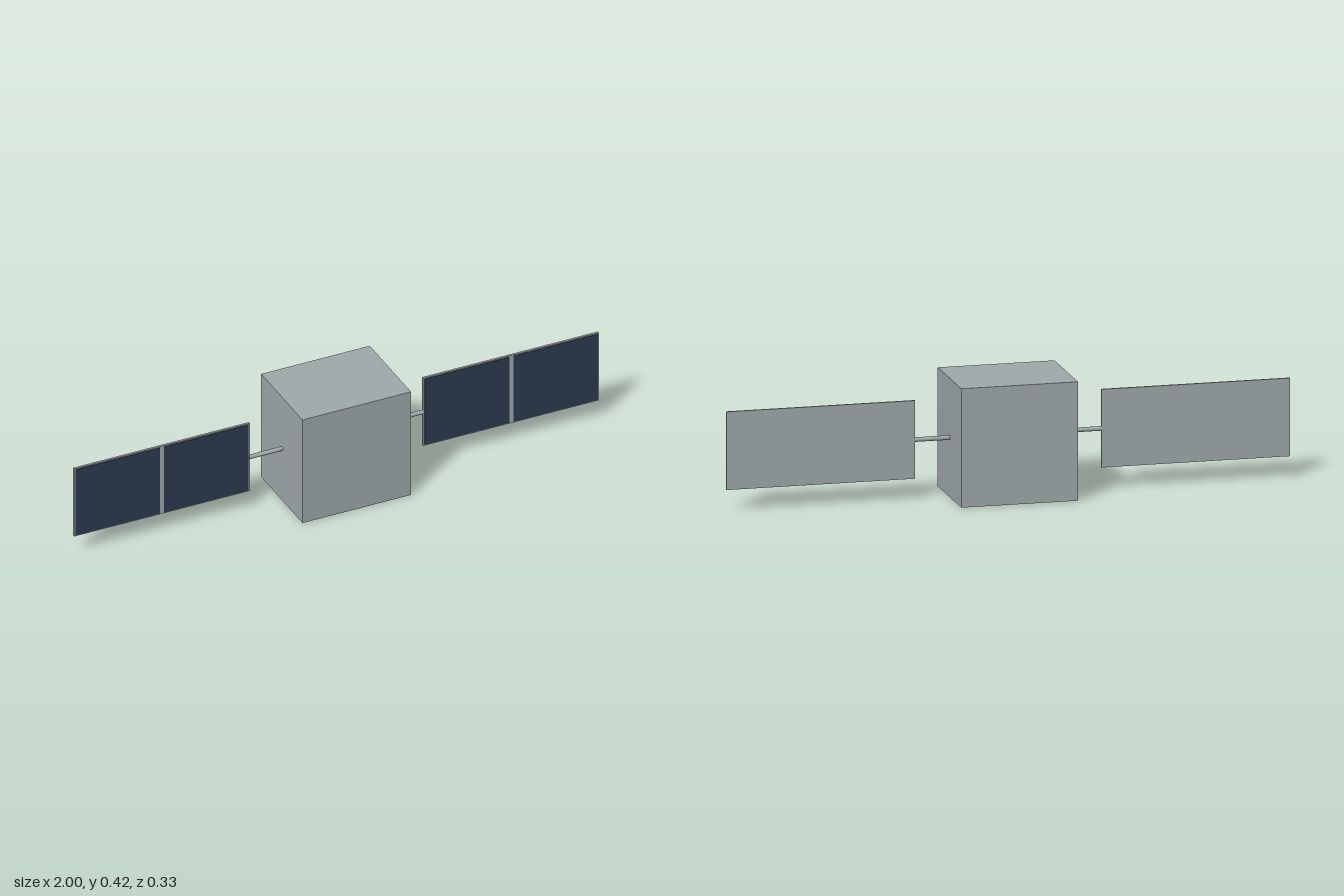
import * as THREE from 'three';

export function createModel() {
  const model = new THREE.Group();
  model.name = 'satellite';
  const hull = new THREE.MeshStandardMaterial({ color: 0x9fa8aa });
  hull.name = 'hull grey';
  const cellBlue = new THREE.MeshStandardMaterial({ color: 0x2c3a4f });
  cellBlue.name = 'solar cell blue';

  const add = (parent, name, geometry, material, x, y, z) => {
    const mesh = new THREE.Mesh(geometry, material);
    mesh.name = name;
    mesh.position.set(x, y, z);
    parent.add(mesh);
    return mesh;
  };

  // Main box
  add(model, 'body', new THREE.BoxGeometry(0.414, 0.42, 0.326), hull, 0, 0.21, 0);

  // One wing each side: boom, backing panel and two cells on the front
  for (const [side, label] of [[1, 'left'], [-1, 'right']]) {
    const wing = new THREE.Group();
    wing.name = label + 'Wing';
    model.add(wing);

    const boom = add(wing, label + 'Boom',
      new THREE.CylinderGeometry(0.008, 0.008, 0.132, 16), hull, side * 0.267, 0.21, 0);
    boom.rotation.z = Math.PI / 2;

    add(wing, label + 'Panel', new THREE.BoxGeometry(0.67, 0.276, 0.008), hull,
      side * 0.665, 0.211, -0.001);

    for (const offset of [-1, 1]) {
      add(wing, label + 'SolarCell', new THREE.BoxGeometry(0.322, 0.268, 0.002), cellBlue,
        side * 0.666 + offset * 0.169, 0.211, 0.004);
    }
  }
  return model;
}
